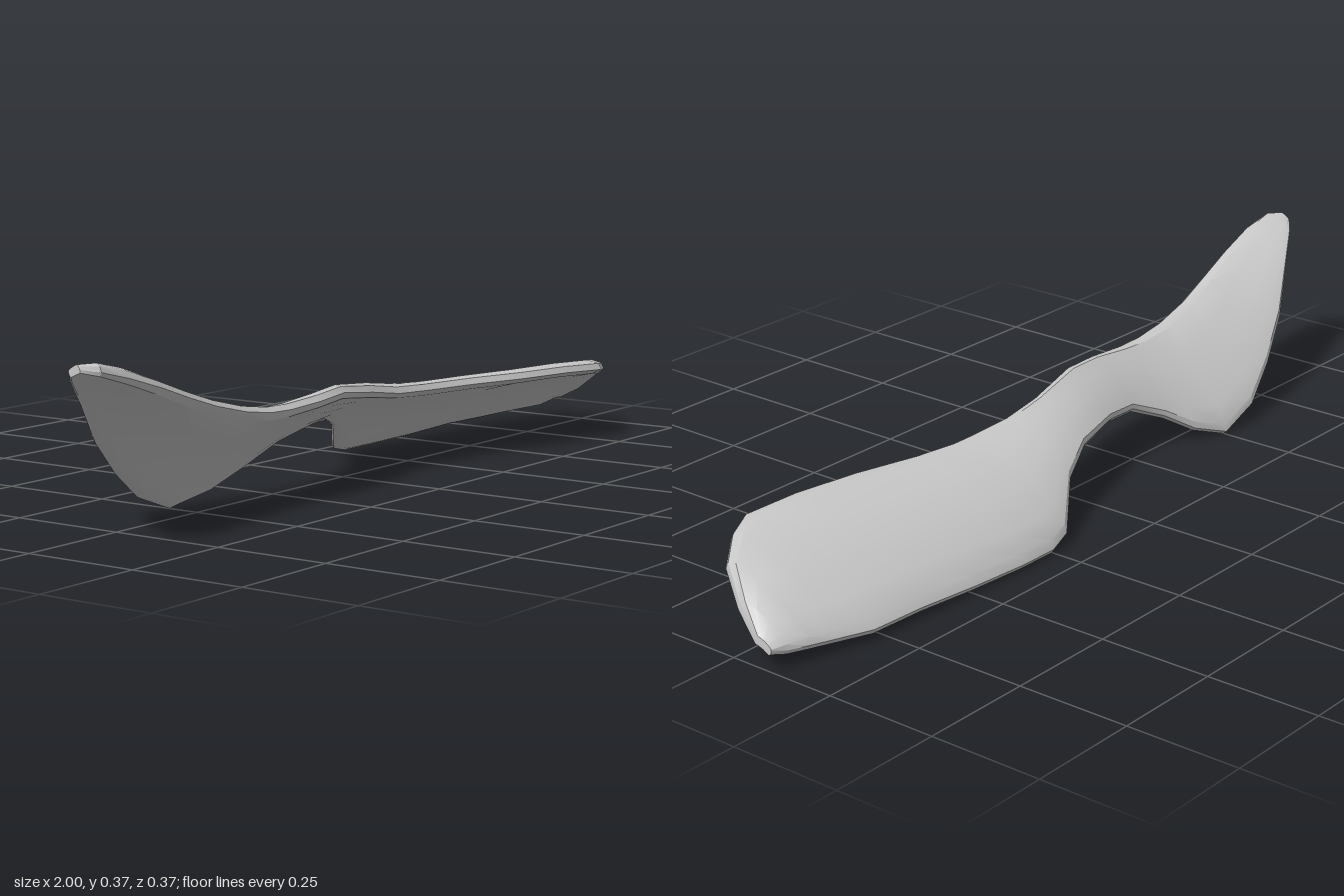
import * as THREE from 'three';
import { toCreasedNormals } from 'three/addons/utils/BufferGeometryUtils.js';

// Cross-sections along the blade: x, front edge z, front edge y, back edge z, back edge y
const SECTIONS = [
  [-1.0, 0.13, 0.363, 0.105, 0.35],
  [-0.97, 0.155, 0.36, 0.08, 0.335],
  [-0.9, 0.16, 0.343, 0.043, 0.28],
  [-0.8, 0.152, 0.313, -0.01, 0.19],
  [-0.7, 0.14, 0.28, -0.047, 0.112],
  [-0.6, 0.126, 0.25, -0.075, 0.047],
  [-0.5, 0.12, 0.226, -0.075, 0.009],
  [-0.42, 0.12, 0.214, -0.045, 0.035],
  [-0.35, 0.12, 0.212, -0.012, 0.078],
  [-0.25, 0.12, 0.217, 0.003, 0.122],
  [-0.15, 0.108, 0.222, -0.012, 0.133],
  [0.0, 0.078, 0.203, -0.06, 0.135],
  [0.1, 0.076, 0.188, -0.1, 0.1],
  [0.2, 0.08, 0.183, -0.17, 0.028],
  [0.26, 0.083, 0.181, -0.183, 0.015],
  [0.36, 0.1, 0.18, -0.182, 0.015],
  [0.5, 0.138, 0.179, -0.175, 0.018],
  [0.65, 0.165, 0.178, -0.167, 0.025],
  [0.78, 0.178, 0.172, -0.16, 0.025],
  [0.85, 0.145, 0.163, -0.142, 0.03],
  [0.92, 0.09, 0.143, -0.124, 0.035],
  [0.97, 0.01, 0.1, -0.112, 0.04],
  [1.0, -0.06, 0.063, -0.1, 0.045],
];

// Closed section outline: distance across from the front edge, and side of the mid-surface
const OUTLINE = [
  [0, 0.45], [0.07, 1], [0.3, 1], [0.55, 0.95], [0.8, 0.9], [0.95, 0.75], [1, 0.3],
  [1, -0.3], [0.95, -0.75], [0.8, -0.9], [0.55, -0.95], [0.3, -1], [0.07, -1], [0, -0.45],
];

function bladeGeometry() {
  const n = OUTLINE.length, positions = [], index = [];
  for (const [x, zF, yF, zB, yB] of SECTIONS) {
    const dy = yB - yF, dz = zB - zF, width = Math.hypot(dy, dz);
    const ny = -dz / width, nz = dy / width;
    const half = Math.min(0.017, 0.006 + width * 0.09);
    const bulge = width * (x > 0 ? 0.085 : 0.04);
    for (const [s, side] of OUTLINE) {
      const off = half * side + bulge * 4 * s * (1 - s);
      positions.push(x, yF + dy * s + ny * off, zF + dz * s + nz * off);
    }
  }
  const last = SECTIONS.length - 1;
  for (let i = 0; i < last; i++) {
    for (let j = 0; j < n; j++) {
      const k = (j + 1) % n, a = i * n + j, c = i * n + k;
      index.push(a, a + n, c, a + n, c + n, c);
    }
  }
  // Close both tips with fans
  for (let j = 1; j < n - 1; j++) {
    index.push(0, j, j + 1);
    index.push(last * n, last * n + j + 1, last * n + j);
  }
  const g = new THREE.BufferGeometry();
  g.setAttribute('position', new THREE.Float32BufferAttribute(positions, 3));
  g.setIndex(index);
  return toCreasedNormals(g, 0.45);
}

export function createModel() {
  const group = new THREE.Group();
  group.name = 'twistedPaddle';
  const grey = new THREE.MeshStandardMaterial({ color: 0xc8c8c8 });
  grey.name = 'light grey';
  const blade = new THREE.Mesh(bladeGeometry(), grey);
  blade.name = 'blade';
  group.add(blade);
  return group;
}
